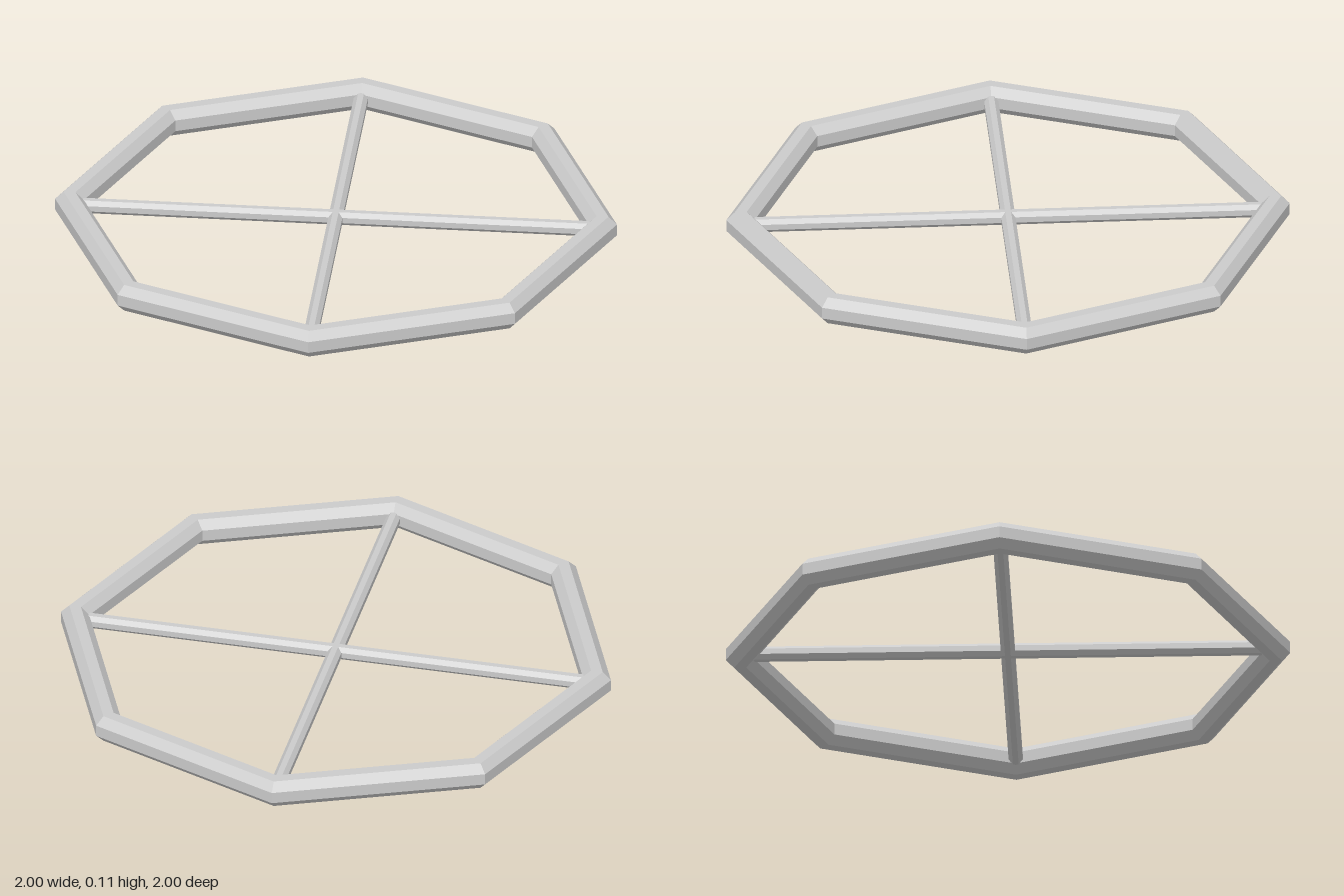
import * as THREE from 'three';

export function createModel() {
  const group = new THREE.Group();
  const material = new THREE.MeshStandardMaterial({ color: 0xcccccc, flatShading: true });
  const ringRadius = 0.98, tube = 0.053, spokeRadius = 0.028;
  const turn = THREE.MathUtils.degToRad(30.2);

  // Octagonal rim: an eight-sided tube section swept in eight straight runs
  const section = [];
  for (let i = 0; i <= 8; i++) {
    const a = (i - 0.5) * Math.PI / 4;
    const r = tube / Math.cos(Math.PI / 8);
    section.push(new THREE.Vector2(ringRadius + r * Math.cos(a), tube + r * Math.sin(a)));
  }
  const rim = new THREE.Mesh(new THREE.LatheGeometry(section, 8, turn, Math.PI * 2), material);
  rim.name = 'rim';
  group.add(rim);

  // Two crossing bars that join opposite corners of the rim
  for (let i = 0; i < 2; i++) {
    const geometry = new THREE.CylinderGeometry(spokeRadius, spokeRadius, ringRadius * 2, 8);
    geometry.rotateY(Math.PI / 8).rotateX(Math.PI / 2);
    const spoke = new THREE.Mesh(geometry, material);
    spoke.name = 'spoke' + (i + 1);
    spoke.position.y = tube;
    spoke.rotation.y = turn + Math.PI / 4 + i * Math.PI / 2;
    group.add(spoke);
  }
  return group;
}
